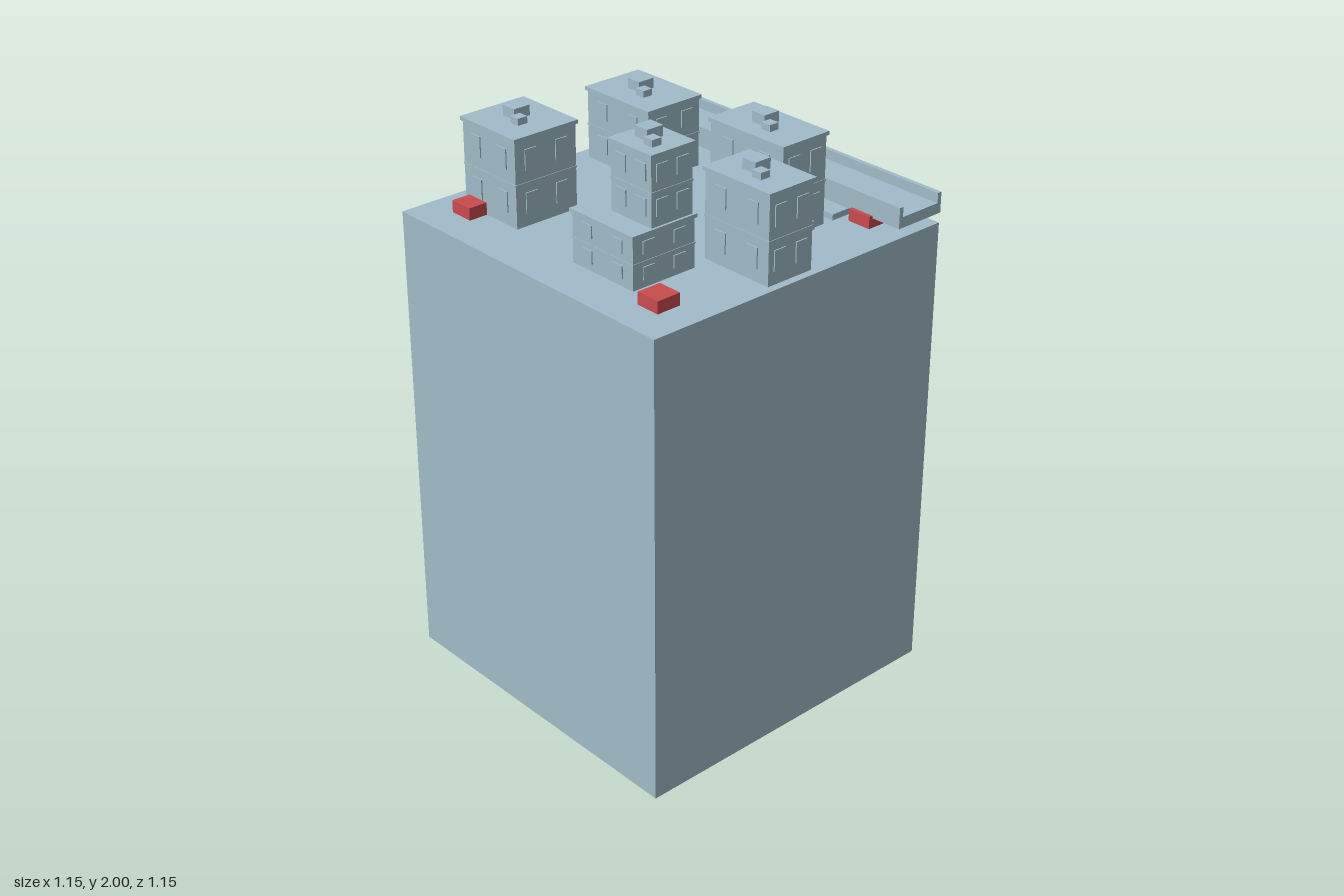
import * as THREE from 'three';
import { RoundedBoxGeometry } from 'three/addons/geometries/RoundedBoxGeometry.js';

const GROUND = 1.57;

export function createModel() {
  const model = new THREE.Group();
  model.name = 'cityBlock';
  const concrete = new THREE.MeshStandardMaterial({ color: 0xa2bcca });
  concrete.name = 'blueGreyConcrete';
  const red = new THREE.MeshStandardMaterial({ color: 0xc94c4e });
  red.name = 'redMarker';

  // Box given by its extents
  function box(parent, name, x0, x1, y0, y1, z0, z1, material = concrete) {
    const mesh = new THREE.Mesh(new THREE.BoxGeometry(x1 - x0, y1 - y0, z1 - z0), material);
    mesh.position.set((x0 + x1) / 2, (y0 + y1) / 2, (z0 + z1) / 2);
    mesh.name = name;
    parent.add(mesh);
    return mesh;
  }

  // Wall block with roof slab, floor bands and raised window trim on all four sides
  function block(parent, x0, x1, y0, y1, z0, z1, floors) {
    const inset = 0.006, roof = 0.012;
    const a = x0 + inset, b = x1 - inset, c = z0 + inset, d = z1 - inset;
    box(parent, 'walls', a, b, y0, y1 - roof, c, d);
    box(parent, 'roofSlab', x0, x1, y1 - roof, y1, z0, z1);
    const storey = (y1 - roof - y0) / floors;
    const t = 0.004;
    for (let f = 0; f < floors; f++) {
      const y = y0 + f * storey;
      if (f > 0) box(parent, 'floorBand', a - 0.002, b + 0.002, y - 0.003, y + 0.003, c - 0.002, d + 0.002);
      const head = y + storey * 0.74, sill = y + storey * 0.3;
      for (const s of [0.25, 0.75]) {
        const x = a + (b - a) * s, z = c + (d - c) * s;
        // lintel and jamb, crossing through to the opposite wall
        box(parent, 'lintelFrontBack', x - 0.022, x + 0.022, head, head + 0.006, c - t, d + t);
        box(parent, 'lintelSides', a - t, b + t, head, head + 0.006, z - 0.022, z + 0.022);
        box(parent, 'jambFrontBack', x + 0.016, x + 0.022, sill, head, c - t, d + t);
        box(parent, 'jambSides', a - t, b + t, sill, head, z + 0.016, z + 0.022);
      }
    }
  }

  // Pair of rooftop units
  function roofUnits(parent, cx, cz, y) {
    const x = cx - 0.021, z = cz - 0.008;
    box(parent, 'roofUnit', x - 0.027, x + 0.027, y, y + 0.034, z - 0.03, z + 0.03);
    const sx = cx + 0.032, sz = cz + 0.025;
    box(parent, 'smallRoofUnit', sx - 0.018, sx + 0.018, y, y + 0.022, sz - 0.018, sz + 0.018);
  }

  // Ground block
  box(model, 'groundBlock', -0.575, 0.575, 0, GROUND, -0.575, 0.575);

  // Plain buildings: x0, x1, z0, z1, top
  const plans = [
    [-0.53, -0.23, -0.345, -0.12, 1.81],
    [0.035, 0.355, -0.315, -0.125, 1.87],
    [0.28, 0.555, -0.06, 0.125, 1.86],
    [-0.49, -0.23, 0.16, 0.405, 1.86],
  ];
  for (const [x0, x1, z0, z1, top] of plans) {
    const building = new THREE.Group();
    building.name = 'building';
    block(building, x0, x1, GROUND, top, z0, z1, 2);
    roofUnits(building, (x0 + x1) / 2, (z0 + z1) / 2, top);
    model.add(building);
  }

  // Stepped tower
  const tower = new THREE.Group();
  tower.name = 'steppedTower';
  block(tower, 0.045, 0.32, GROUND, 1.742, 0.18, 0.427, 2);
  block(tower, 0.135, 0.318, 1.742, 1.966, 0.187, 0.355, 2);
  roofUnits(tower, 0.2265, 0.271, 1.966);
  model.add(tower);

  // Side step of the rear building
  box(model, 'sideStep', 0.3, 0.358, GROUND, 1.597, -0.262, -0.178);

  // Red markers
  for (const [x, z] of [[0, 0], [-0.425, 0.423], [0.425, 0.423], [-0.425, -0.425], [0.425, -0.425]]) {
    box(model, 'redBox', x - 0.042, x + 0.042, GROUND, 1.61, z - 0.042, z + 0.042, red);
  }

  // Raised road with parapets
  const road = new THREE.Group();
  road.name = 'raisedRoad';
  box(road, 'deck', -0.575, 0.575, 1.602, 1.637, -0.577, -0.397);
  box(road, 'innerParapet', -0.575, 0.575, 1.602, 1.67, -0.411, -0.396);
  box(road, 'outerParapet', -0.575, 0.575, 1.602, 1.67, -0.578, -0.563);
  const car = new THREE.Mesh(new RoundedBoxGeometry(0.054, 0.022, 0.066, 2, 0.008), concrete);
  car.name = 'deckVehicle';
  car.position.set(-0.045, 1.643, -0.452);
  road.add(car);
  model.add(road);

  // Low slabs beneath the road
  box(model, 'lowSlab', 0, 0.35, GROUND, 1.59, -0.575, -0.348);
  box(model, 'lowStep', -0.12, 0, GROUND, 1.584, -0.575, -0.334);

  return model;
}
